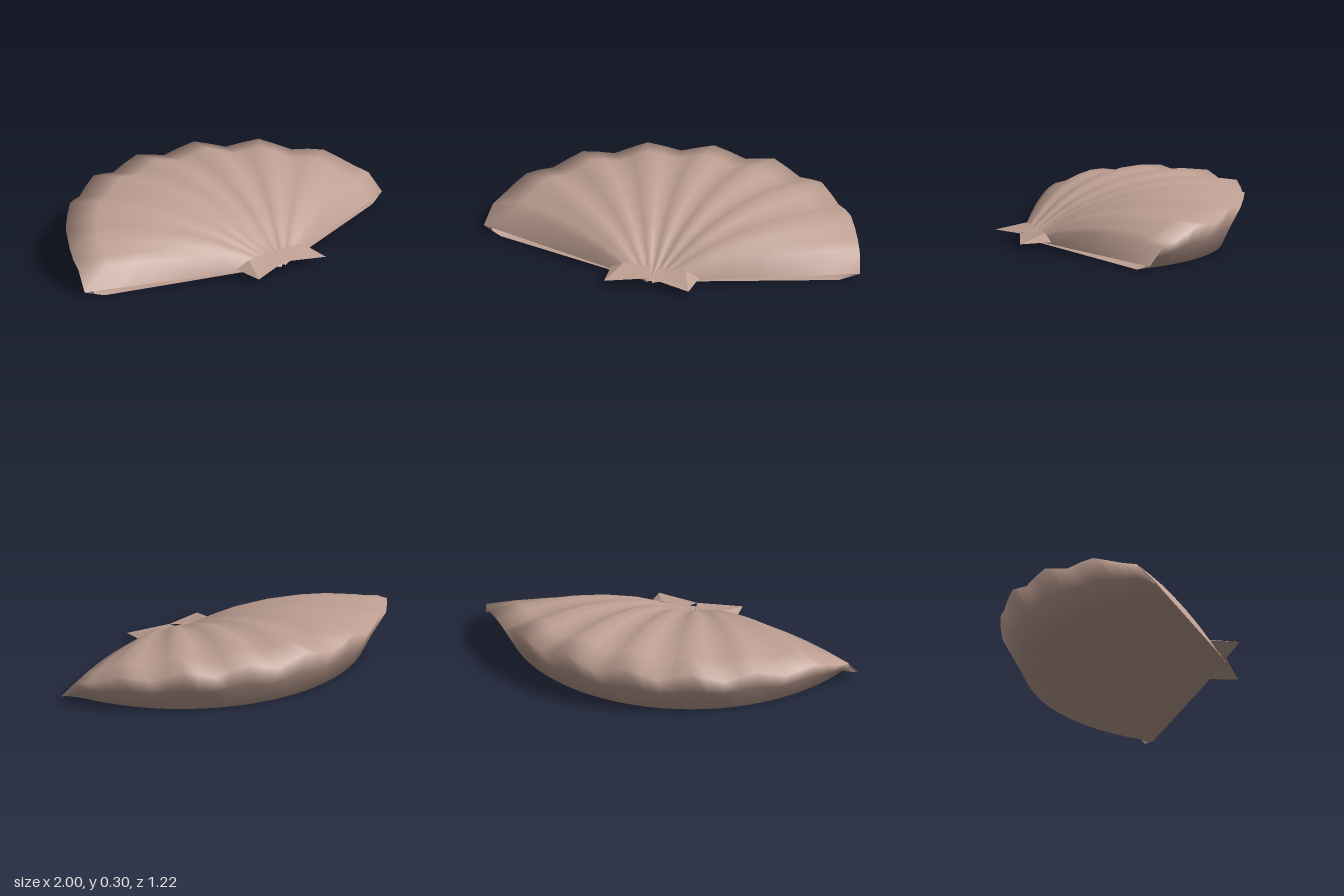
import * as THREE from 'three';

const shellColor = new THREE.MeshStandardMaterial({ color: 0xbfa093, side: THREE.DoubleSide });
shellColor.name = 'shellPink';

const HINGE_Z = 0.54;
const SPREAD = THREE.MathUtils.degToRad(68.4); // half angle of the fan
const ANGLE_STEPS = 32;

// Crest height above the hinge level, from hinge (0) to rim (1)
const CREST = [[0, 0.01], [0.1, 0.04], [0.2, 0.105], [0.3, 0.165], [0.45, 0.225],
  [0.6, 0.26], [0.72, 0.272], [0.86, 0.265], [1, 0.24]];

function crestHeight(f) {
  let i = 1;
  while (i < CREST.length - 1 && f > CREST[i][0]) i++;
  const [f0, h0] = CREST[i - 1], [f1, h1] = CREST[i];
  return THREE.MathUtils.mapLinear(f, f0, f1, h0, h1);
}

// Distance from the hinge to the circular rim
function rimRadius(a) {
  return 0.11 * Math.cos(a) + Math.sqrt(1.04 ** 2 - (0.11 * Math.sin(a)) ** 2);
}

// Ribbed dome height: steep at both sides, eight scalloped ribs across
function topHeight(f, t) {
  const level = 0.02 + 0.01 * Math.min(1, f / 0.05);
  const dome = Math.sqrt(Math.max(0, 1 - Math.pow(Math.abs(t), 2.6)));
  const groove = 0.046 * Math.pow(f, 0.8) * (1 - t ** 4) * (1 - Math.cos(8 * Math.PI * t)) / 2;
  return Math.max(level, level + crestHeight(f) * dome - groove);
}

// Rows run over the ribbed top, round the rim, down the undercut wall and back underneath
function shellGeometry() {
  const rows = [0.01, 0.05, 0.1, 0.15, 0.2, 0.25, 0.3, 0.38, 0.45, 0.53, 0.6, 0.72, 0.86, 1]
    .map(f => ({ f, height: t => topHeight(f, t) }));
  rows.push({ f: 0.95, height: t => topHeight(1, t) / 2 });
  for (const f of [0.9, 0.74, 0.4, 0.01]) rows.push({ f, height: () => 0.03 * (1 - f / 0.9) });

  const positions = [], indices = [];
  rows.forEach(({ f, height }, i) => {
    for (let j = 0; j <= ANGLE_STEPS; j++) {
      const t = (2 * j) / ANGLE_STEPS - 1;
      const a = t * SPREAD;
      const r = f * rimRadius(a);
      positions.push(r * Math.sin(a), height(t), HINGE_Z - r * Math.cos(a));
      if (i < rows.length - 1 && j < ANGLE_STEPS) {
        const p = i * (ANGLE_STEPS + 1) + j, q = p + ANGLE_STEPS + 1;
        indices.push(p, p + 1, q, p + 1, q + 1, q);
      }
    }
  });
  const g = new THREE.BufferGeometry();
  g.setAttribute('position', new THREE.Float32BufferAttribute(positions, 3));
  g.setIndex(indices);
  g.computeVertexNormals();
  return g;
}

// Thin folded ear beside the hinge
function earGeometry(side) {
  const corners = [[0.225, 0.035, 0.605], [0.235, 0.04, 0.44], [0.165, 0.075, 0.455], [0.03, 0.072, 0.44], [0, 0.05, 0.54]];
  const positions = [];
  for (let i = 1; i < corners.length - 1; i++) {
    const tri = [corners[0], corners[i], corners[i + 1]];
    if (side < 0) tri.reverse();
    for (const [x, y, z] of tri) positions.push(side * x, y, z);
  }
  const g = new THREE.BufferGeometry();
  g.setAttribute('position', new THREE.Float32BufferAttribute(positions, 3));
  g.computeVertexNormals();
  return g;
}

export function createModel() {
  const group = new THREE.Group();
  group.name = 'scallopShell';
  const add = (name, geometry) => {
    const mesh = new THREE.Mesh(geometry, shellColor);
    mesh.name = name;
    group.add(mesh);
  };
  add('ribbedShell', shellGeometry());
  add('leftEar', earGeometry(1));
  add('rightEar', earGeometry(-1));
  return group;
}
